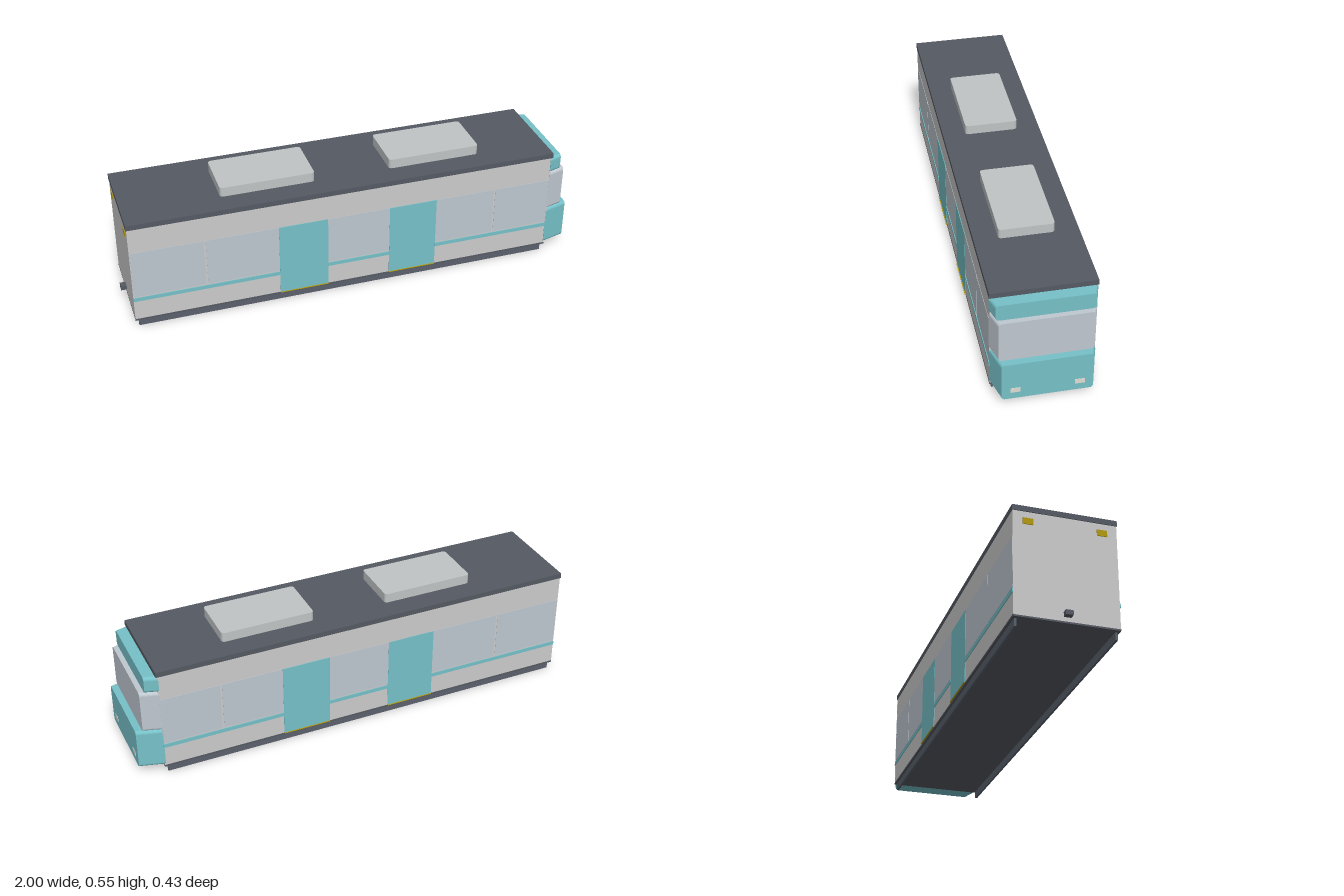
import * as THREE from 'three';

const mat = (color) => new THREE.MeshStandardMaterial({ color });
const grey = mat(0xcccccc), teal = mat(0x76c1c8), dark = mat(0x555a63), under = mat(0x5a606c),
  glass = mat(0xbfc8d0), unitGrey = mat(0xc0c4c5), yellow = mat(0xb39a10), lamp = mat(0xe0ddd6);

// Box given by its limits on each axis
function box(name, [x0, x1], [y0, y1], [z0, z1], material) {
  const mesh = new THREE.Mesh(new THREE.BoxGeometry(x1 - x0, y1 - y0, z1 - z0), material);
  mesh.position.set((x0 + x1) / 2, (y0 + y1) / 2, (z0 + z1) / 2);
  mesh.name = name;
  return mesh;
}

// Rectangle with rounded corners, centred on the origin
function roundedRect(w, h, r) {
  const s = new THREE.Shape();
  const x = w / 2 - r, y = h / 2 - r;
  s.absarc(x, y, r, 0, Math.PI / 2);
  s.absarc(-x, y, r, Math.PI / 2, Math.PI);
  s.absarc(-x, -y, r, Math.PI, Math.PI * 1.5);
  s.absarc(x, -y, r, Math.PI * 1.5, Math.PI * 2);
  s.closePath();
  return s;
}

// Cab block: rounded section extruded along x, narrowing towards its front face
function cabBlock(name, y0, y1, xFront, halfFront, material) {
  const xBack = 0.89, halfBack = 0.213, depth = xFront - xBack;
  const geo = new THREE.ExtrudeGeometry(roundedRect(halfBack * 2, y1 - y0, 0.015),
    { depth, bevelEnabled: false, curveSegments: 5 });
  const p = geo.attributes.position;
  for (let i = 0; i < p.count; i++) {
    const t = p.getZ(i) / depth;
    p.setX(i, p.getX(i) * (1 + (halfFront / halfBack - 1) * t));
  }
  geo.rotateY(Math.PI / 2);
  geo.computeVertexNormals();
  const mesh = new THREE.Mesh(geo, material);
  mesh.position.set(xBack, (y0 + y1) / 2, 0);
  mesh.name = name;
  return mesh;
}

export function createModel() {
  const model = new THREE.Group();
  model.name = 'tram';

  // Main shell
  model.add(
    box('body', [-0.975, 0.895], [0.04, 0.485], [-0.211, 0.211], grey),
    box('roof', [-0.978, 0.9], [0.485, 0.508], [-0.213, 0.213], dark),
    box('floorPlate', [-0.975, 0.895], [0.033, 0.041], [-0.212, 0.212], dark));

  // Cab end, three stepped blocks
  model.add(
    cabBlock('cabLower', 0.042, 0.222, 0.997, 0.183, teal),
    cabBlock('windscreen', 0.222, 0.411, 0.968, 0.19, glass),
    cabBlock('cabUpper', 0.411, 0.484, 0.946, 0.196, teal));

  // Side panels, mirrored front and back
  const windows = [[-0.972, -0.665], [-0.657, -0.345], [-0.13, 0.147], [0.36, 0.627], [0.635, 0.893]];
  const stripes = [[-0.975, -0.345], [-0.13, 0.147], [0.36, 0.895]];
  const doors = [[-0.345, -0.13], [0.147, 0.36]];
  for (const s of [1, -1]) {
    const side = new THREE.Group();
    side.name = s > 0 ? 'frontSide' : 'backSide';
    const slab = (name, x, y, a, b, m) =>
      side.add(box(name, x, y, s > 0 ? [a, b] : [-b, -a], m));
    for (const x of windows) slab('window', x, [0.155, 0.372], 0.205, 0.2125, glass);
    for (const x of stripes) slab('stripe', x, [0.132, 0.149], 0.205, 0.2145, teal);
    for (const x of doors) {
      slab('door', x, [0.042, 0.372], 0.205, 0.2135, teal);
      slab('doorSill', x, [0.04, 0.043], 0.205, 0.217, yellow);
    }
    slab('skirt', [-0.96, 0.88], [0, 0.035], 0.194, 0.203, under);
    model.add(side);

    // Lamps at both ends
    const z = s * 0.129;
    model.add(box('headlight', [0.99, 0.9985], [0.074, 0.097], [z - 0.02, z + 0.02], lamp));
    const t = s * 0.15;
    model.add(box('tailLight', [-0.978, -0.97], [0.43, 0.457], [t - 0.021, t + 0.021], yellow));
  }

  // Roof units
  for (const x of [-0.361, 0.379]) {
    const geo = new THREE.ExtrudeGeometry(roundedRect(0.408, 0.229, 0.014),
      { depth: 0.043, bevelEnabled: false, curveSegments: 5 });
    geo.rotateX(-Math.PI / 2);
    const unit = new THREE.Mesh(geo, unitGrey);
    unit.position.set(x, 0.507, 0);
    unit.name = 'roofUnit';
    model.add(unit);
  }

  // Rear coupler
  model.add(box('coupler', [-1, -0.97], [0.058, 0.078], [-0.015, 0.015], dark));
  return model;
}
